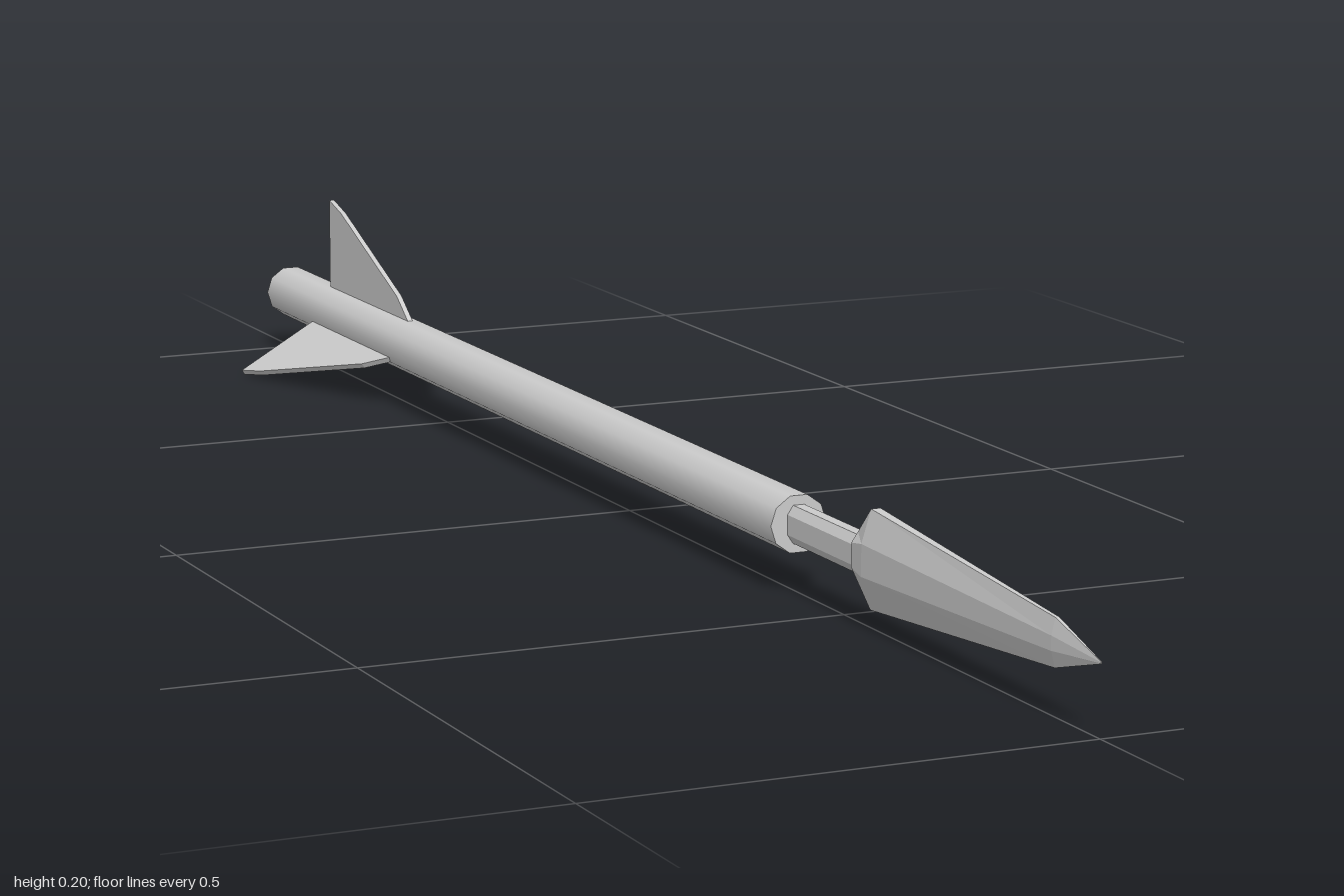
import * as THREE from 'three';

const AXIS_Y = 0.07;

// Flat-faced loft along z through octagonal sections [z, half width, ridge half height, edge half width, half height]
function loft(sections) {
  const rings = sections.map(([z, w, m, t, h]) => [
    [w, -m, z], [w, m, z], [t, h, z], [-t, h, z],
    [-w, m, z], [-w, -m, z], [-t, -h, z], [t, -h, z],
  ]);
  const pos = [];
  const tri = (a, b, c) => pos.push(...a, ...b, ...c);
  for (let i = 0; i < rings.length - 1; i++) {
    const a = rings[i], b = rings[i + 1];
    for (let j = 0; j < 8; j++) {
      const k = (j + 1) % 8;
      tri(a[j], a[k], b[k]);
      tri(a[j], b[k], b[j]);
    }
  }
  // end caps
  const first = rings[0], last = rings[rings.length - 1];
  for (let j = 1; j < 7; j++) {
    tri(first[0], first[j + 1], first[j]);
    tri(last[0], last[j], last[j + 1]);
  }
  const geo = new THREE.BufferGeometry();
  geo.setAttribute('position', new THREE.Float32BufferAttribute(pos, 3));
  geo.computeVertexNormals();
  return geo;
}

export function createModel() {
  const model = new THREE.Group();
  model.name = 'arrow';
  const smooth = new THREE.MeshStandardMaterial({ color: 0xcccccc });
  const flat = new THREE.MeshStandardMaterial({ color: 0xcccccc, flatShading: true });

  const add = (name, geo, mat) => {
    const mesh = new THREE.Mesh(geo, mat);
    mesh.name = name;
    mesh.position.y = AXIS_Y;
    model.add(mesh);
    return mesh;
  };

  // Shaft, lying along z
  const shaft = new THREE.CylinderGeometry(0.03, 0.03, 1.4, 10);
  shaft.rotateX(Math.PI / 2).rotateZ(Math.PI / 2).translate(0, 0, -0.3);
  add('shaft', shaft, smooth);

  // Neck between shaft and blade
  add('neck', loft([
    [0.39, 0.012, 0.01, 0.006, 0.019],
    [0.56, 0.012, 0.01, 0.006, 0.019],
  ]), flat);

  // Narrow upright blade tapering to a point
  add('blade', loft([
    [0.54, 0.013, 0.012, 0.006, 0.022],
    [0.565, 0.015, 0.016, 0.005, 0.049],
    [0.92, 0.006, 0.007, 0.002, 0.023],
    [1, 0.0005, 0.0005, 0.0003, 0.001],
  ]), flat);

  // Three fins around the tail; outline is (z, radius)
  const outline = [
    [-0.605, 0.024], [-0.645, 0.052], [-0.82, 0.122], [-0.858, 0.132], [-0.858, 0.024],
  ].map(([z, r]) => new THREE.Vector2(z, r));
  const thickness = 0.006;
  const finGeo = new THREE.ExtrudeGeometry(new THREE.Shape(outline), {
    depth: thickness, bevelEnabled: false,
  });
  finGeo.translate(0, 0, -thickness / 2).rotateY(-Math.PI / 2);
  ['topFin', 'rightFin', 'leftFin'].forEach((name, i) => {
    add(name, finGeo, flat).rotation.z = (i * Math.PI * 2) / 3;
  });

  return model;
}
